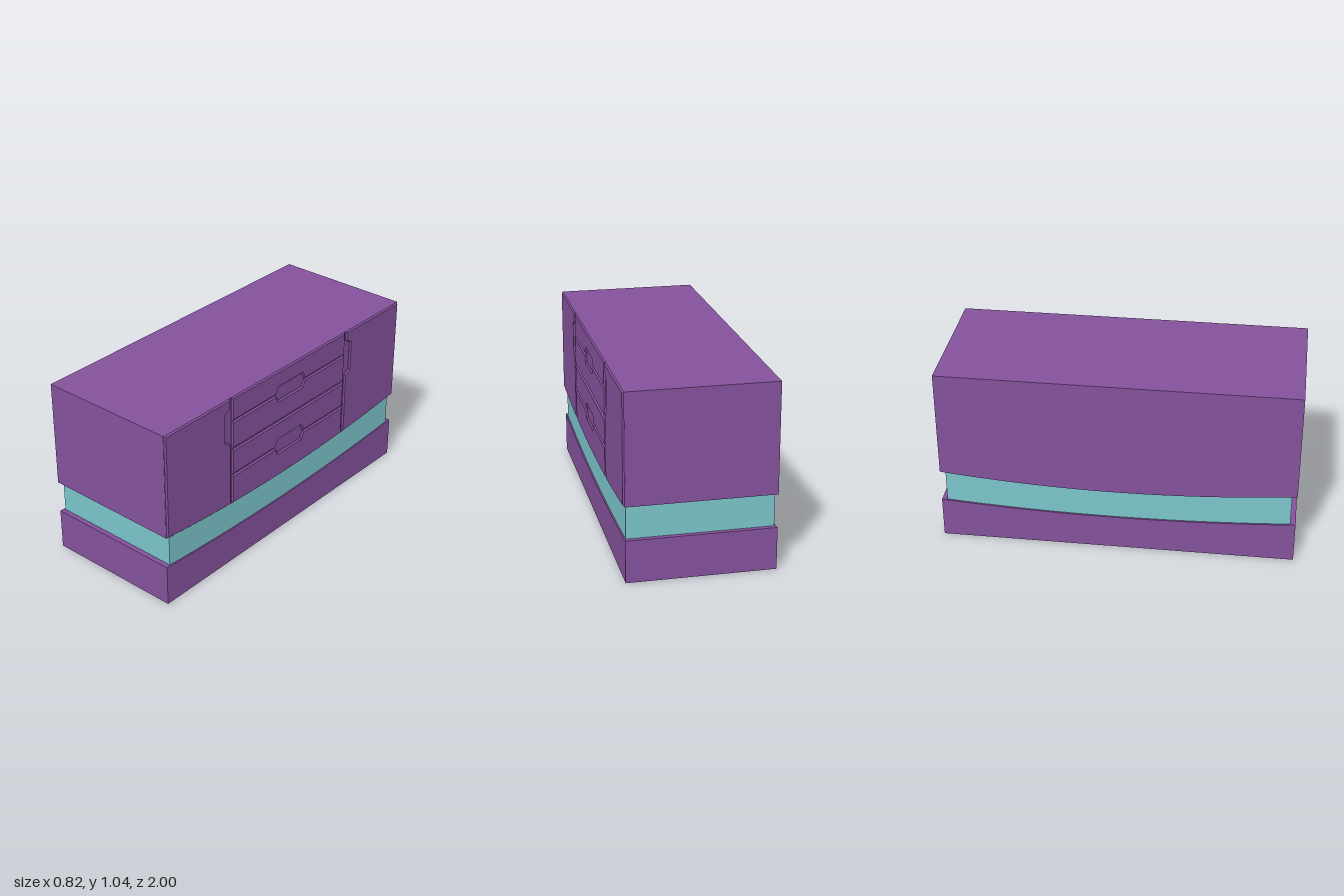
import * as THREE from 'three';

const purple = new THREE.MeshStandardMaterial({ color: 0x84519c, flatShading: true });
const teal = new THREE.MeshStandardMaterial({ color: 0x7ac5ca, flatShading: true });

// Sagging curves shared by the cabinet underside and the plinth top
const underside = z => 0.37 + 0.055 * z * z;
const plinthTop = z => 0.2 + 0.038 * z * z;

// Points along a curve from z = a to z = b
function along(curve, a, b, n = 16) {
  return Array.from({ length: n + 1 }, (_, i) => {
    const z = a + (b - a) * i / n;
    return [z, curve(z)];
  });
}

// Extrude a side profile across the cabinet from x0 to x1
function slab(name, points, x0, x1, material, bevel = 0) {
  const shape = new THREE.Shape(points.map(p => new THREE.Vector2(p[0], p[1])));
  const geometry = new THREE.ExtrudeGeometry(shape, {
    depth: x1 - x0 - 2 * bevel, bevelEnabled: bevel > 0, bevelSegments: 1,
    bevelThickness: bevel, bevelSize: bevel, bevelOffset: -bevel,
  });
  geometry.translate(0, 0, x0 + bevel);
  geometry.rotateY(Math.PI / 2);
  const mesh = new THREE.Mesh(geometry, material);
  mesh.name = name;
  return mesh;
}

export function createModel() {
  const model = new THREE.Group();
  model.name = 'sideboard';

  // Plinth, recessed band and cabinet body
  model.add(slab('plinth', [[-1, 0], [1, 0], ...along(plinthTop, 1, -1)], -0.41, 0.4, purple));
  model.add(slab('recessedBand', [
    ...along(z => plinthTop(z) - 0.02, -0.97, 0.97),
    ...along(z => underside(z) + 0.02, 0.97, -0.97),
  ], -0.4, 0.392, teal));
  model.add(slab('cabinetBody', [...along(underside, -1, 1), [1, 1.042], [-1, 1.042]], -0.41, 0.4, purple));

  const panel = (name, points) => model.add(slab(name, points, 0.37, 0.41, purple, 0.008));

  // Doors with a finger notch beside the drawers
  for (const s of [-1, 1]) {
    const outline = [
      ...along(underside, 0.497, 0.998), [0.998, 1.042], [0.497, 1.042],
      [0.497, 0.985], [0.538, 0.96], [0.538, 0.79], [0.497, 0.765],
    ].map(([z, y]) => [s * z, y]);
    panel(s < 0 ? 'leftDoor' : 'rightDoor', outline);
  }

  // Drawers: pairs share a six-sided finger opening across their gap
  const w = 0.487;
  const notch = (y, dy) => [[-0.122, y], [-0.1, y + dy], [0.1, y + dy], [0.122, y]];
  const drawers = [
    { bottom: 0.9, top: 1.042, cutBottom: true },
    { bottom: 0.73, top: 0.896, cutTop: true },
    { bottom: 0.567, top: 0.722, cutBottom: true },
    { top: 0.561, cutTop: true },
  ];
  drawers.forEach(({ bottom, top, cutTop, cutBottom }, i) => {
    const lower = bottom === undefined
      ? along(underside, -w, w)
      : [[-w, bottom], ...(cutBottom ? notch(bottom, 0.04) : []), [w, bottom]];
    const upper = [[w, top], ...(cutTop ? notch(top, -0.038).reverse() : []), [-w, top]];
    panel('drawer' + (i + 1), [...lower, ...upper]);
  });

  return model;
}
